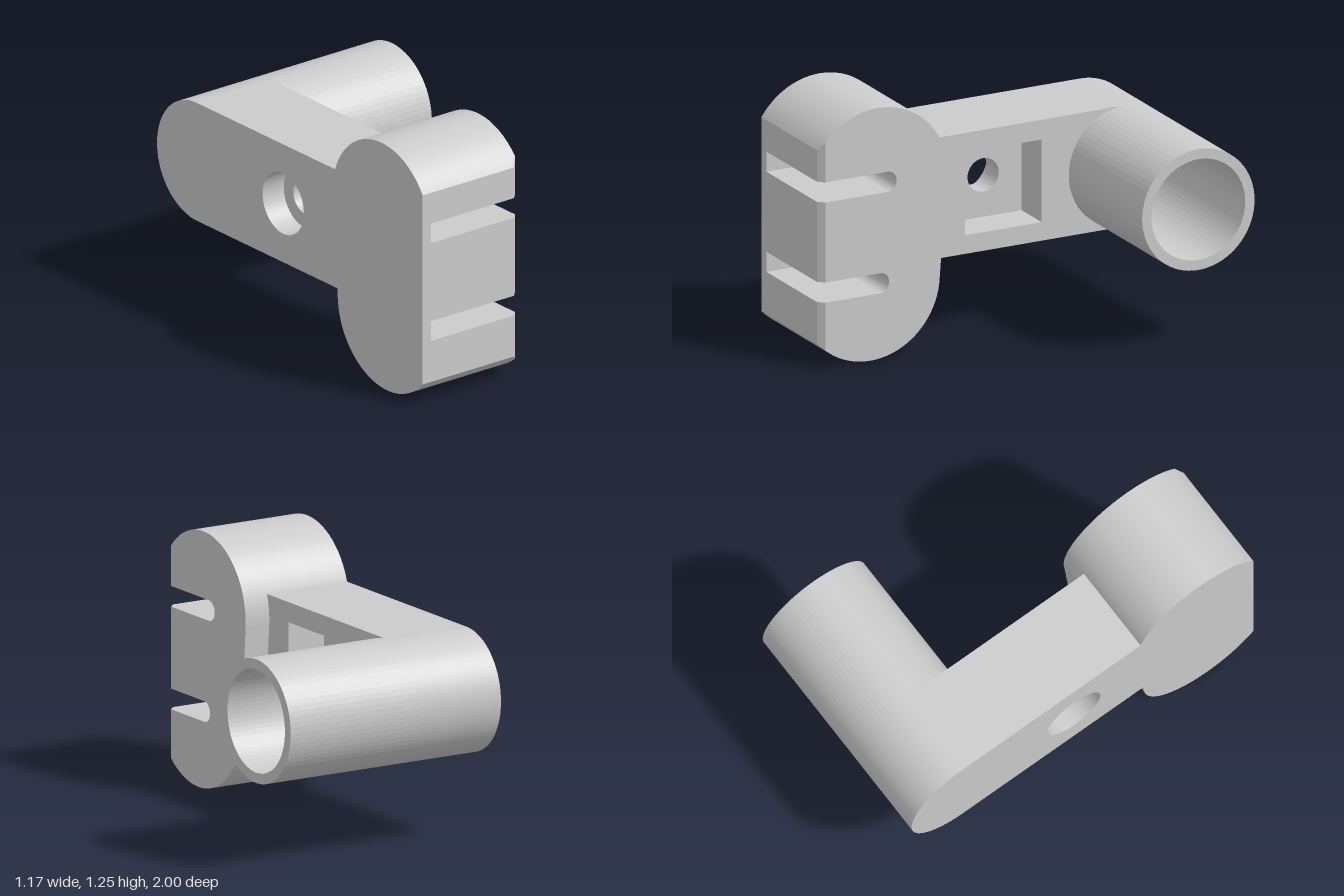
import * as THREE from 'three';

const material = new THREE.MeshStandardMaterial({ color: 0xcccccc, flatShading: true });

// Profiles are drawn in (u, y) with u = -z, and extruded along x from x0 to x1.
function slab(shape, x0, x1) {
  const geometry = new THREE.ExtrudeGeometry(shape, { depth: x1 - x0, bevelEnabled: false, curveSegments: 36 });
  return geometry.rotateY(Math.PI / 2).translate(x0, 0, 0);
}

function circle(u, y, r) {
  return new THREE.Path().absarc(u, y, r, 0, Math.PI * 2, false);
}

function square(u, y, half) {
  return new THREE.Path([[-1, -1], [1, -1], [1, 1], [-1, 1]]
    .map(([a, b]) => new THREE.Vector2(u + a * half, y + b * half)));
}

// Head: two arcs joined by a tangent line, cut flat at the front
const R = 0.37, FRONT = -1, CHAMFER = 0.03;
const LOW = { u: -0.73, y: 0.37 }, HIGH = { u: -0.69, y: 0.877 };
const SLOTS = [{ y: 0.873, end: -0.64 }, { y: 0.376, end: -0.68 }];

function headShape(slotted) {
  const tangent = -Math.atan2(HIGH.u - LOW.u, HIGH.y - LOW.y);
  const start = -Math.acos((FRONT - LOW.u) / R);
  const finish = Math.acos((FRONT - HIGH.u) / R);
  const shape = new THREE.Shape();
  shape.absarc(LOW.u, LOW.y, R, start, tangent, false);
  shape.absarc(HIGH.u, HIGH.y, R, tangent, finish, false);
  if (slotted) {
    for (const { y, end } of SLOTS) {
      const r = 0.05;
      shape.lineTo(FRONT, y + r);
      shape.lineTo(end, y + r);
      shape.absarc(end, y, r, Math.PI / 2, -Math.PI / 2, true);
      shape.lineTo(FRONT, y - r);
    }
  }
  shape.closePath();
  return shape;
}

// Pull the outer front edge back, sliding the corners along their arcs
function chamferFront(geometry, xOuter) {
  const p = geometry.attributes.position;
  const u = FRONT + CHAMFER;
  const top = HIGH.y + Math.sqrt(R * R - (u - HIGH.u) ** 2);
  const bottom = LOW.y - Math.sqrt(R * R - (u - LOW.u) ** 2);
  for (let i = 0; i < p.count; i++) {
    if (p.getX(i) < xOuter - 0.001 || p.getZ(i) <= -u) continue;
    const y = p.getY(i);
    p.setZ(i, -u);
    if (y > 1.05) p.setY(i, top);
    if (y < 0.15) p.setY(i, bottom);
  }
  geometry.computeVertexNormals();
  return geometry;
}

// Arm: straight bar with a round rear end
const AXIS = { u: 0.7, y: 0.698, r: 0.3 }, HOLE = { u: 0.05, y: 0.698 };

function armShape(...holes) {
  const { u, y, r } = AXIS;
  const shape = new THREE.Shape();
  shape.moveTo(-0.37, y - r);
  shape.lineTo(u, y - r);
  shape.absarc(u, y, r, -Math.PI / 2, Math.PI / 2, false);
  shape.lineTo(-0.37, y + r);
  shape.closePath();
  shape.holes.push(...holes);
  return shape;
}

export function createModel() {
  const model = new THREE.Group();
  const addPart = (name, geometries) => {
    const group = new THREE.Group();
    group.name = name;
    geometries.forEach((g, i) => {
      const mesh = new THREE.Mesh(g, material);
      mesh.name = `${name}Layer${i + 1}`;
      group.add(mesh);
    });
    model.add(group);
  };

  // Closed side wall, slotted body, chamfered face
  addPart('slottedHead', [
    slab(headShape(false), -0.587, -0.537),
    slab(headShape(true), -0.537, -0.038),
    chamferFront(slab(headShape(true), -0.038, -0.008), -0.008),
  ]);

  // Counterbore on one side, through hole, square pocket on the other
  const bore = () => circle(AXIS.u, AXIS.y, 0.25);
  const counterbore = () => circle(HOLE.u, HOLE.y, 0.155);
  addPart('arm', [
    slab(armShape(counterbore()), -0.587, -0.537),
    slab(armShape(counterbore(), bore()), -0.537, -0.46),
    slab(armShape(circle(HOLE.u, HOLE.y, 0.083), bore()), -0.46, -0.34),
    slab(armShape(square(HOLE.u, 0.695, 0.205), bore()), -0.34, -0.14),
  ]);

  // Hollow tube at the rear of the arm
  const ring = new THREE.Shape();
  ring.absarc(AXIS.u, AXIS.y, AXIS.r, 0, Math.PI * 2, false);
  ring.holes.push(bore());
  addPart('tube', [slab(ring, -0.14, 0.587)]);

  return model;
}
